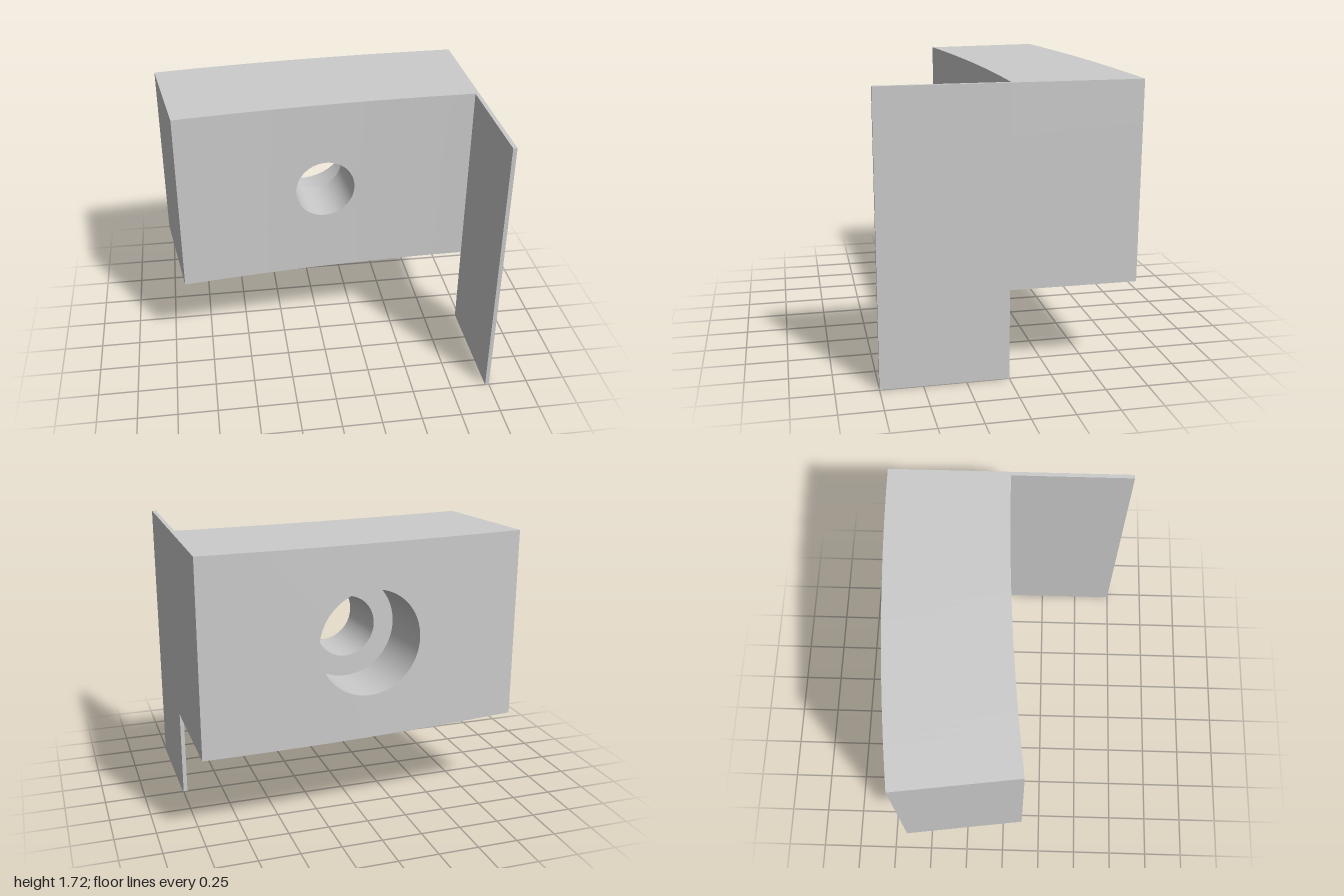
import * as THREE from 'three';
import { toCreasedNormals } from 'three/addons/utils/BufferGeometryUtils.js';

const R_FRONT = 14.65, R_BACK = 15.4, R_STEP = 15.02; // radii about the bend centre
const CENTRE_X = 1, CENTRE_Z = 14.65;
const SWEEP = Math.asin(2 / R_BACK);                  // angle covered by the block
const TILT = 0.0662;                                  // direction of the bore axis
const Y0 = 0.54, Y1 = 1.715, YC = (Y0 + Y1) / 2;
const BORE = 0.19, COUNTERBORE = 0.32;

// Outline of the block as [angle from bore axis, height], anticlockwise from the front
function outline() {
  const a0 = TILT - SWEEP, a1 = TILT, h = (Y1 - Y0) / 2;
  const corners = [[a1, -h], [a1, h], [a0, h], [a0, -h]];
  const steps = [24, 40, 24, 40];
  const pts = [];
  corners.forEach(([a, y], k) => {
    const [b, v] = corners[(k + 1) % 4];
    for (let i = 0; i < steps[k]; i++) {
      const t = i / steps[k];
      pts.push([a + (b - a) * t, y + (v - y) * t]);
    }
  });
  return pts;
}

// Point u across, v up and d out along the bore axis
function place(u, v, d) {
  const s = Math.sin(TILT), c = Math.cos(TILT);
  return [CENTRE_X - s * d + c * u, YC + v, CENTRE_Z - c * d - s * u];
}

// Closed sequence of loops: front face, rim, back face, counterbore, step, bore
function blockGeometry() {
  const pts = outline();
  const edge = (r) => pts.map(([a, v]) => [r * Math.sin(a), v]);
  const circle = (rad) => edge(R_FRONT).map(([u, v]) => {
    const a = Math.atan2(v, u);
    return [rad * Math.cos(a), rad * Math.sin(a)];
  });
  const onCylinder = (loop, r) => loop.map(([u, v]) => place(u, v, Math.sqrt(r * r - u * u)));
  const onPlane = (loop, d) => loop.map(([u, v]) => place(u, v, d));
  const face = (from, to, r, n = 8) => Array.from({ length: n + 1 }, (_, i) =>
    onCylinder(from.map(([u, v], j) =>
      [u + (to[j][0] - u) * i / n, v + (to[j][1] - v) * i / n]), r));

  const loops = [
    ...face(circle(BORE), edge(R_FRONT), R_FRONT),
    ...face(edge(R_BACK), circle(COUNTERBORE), R_BACK),
    onPlane(circle(COUNTERBORE), R_STEP),
    onPlane(circle(BORE), R_STEP),
  ];
  const n = pts.length, index = [];
  loops.forEach((_, i) => {
    const a = i * n, b = ((i + 1) % loops.length) * n;
    for (let j = 0; j < n; j++) {
      const k = (j + 1) % n;
      index.push(a + j, b + j, b + k, a + j, b + k, a + k);
    }
  });
  const geo = new THREE.BufferGeometry();
  geo.setAttribute('position', new THREE.Float32BufferAttribute(loops.flat(2), 3));
  geo.setIndex(index);
  return toCreasedNormals(geo, 0.5);
}

export function createModel() {
  const group = new THREE.Group();
  const material = new THREE.MeshStandardMaterial({ color: 0xcccccc });

  // Curved block with a counterbored hole
  const block = new THREE.Mesh(blockGeometry(), material);
  block.name = 'curvedBlock';

  // Thin plate continuing the block's end face forwards and down
  const plate = new THREE.Mesh(new THREE.BoxGeometry(0.025, Y1, 0.75), material);
  plate.name = 'endPlate';
  plate.position.set(0.9875, Y1 / 2, 0.375);

  group.add(block, plate);
  return group;
}
